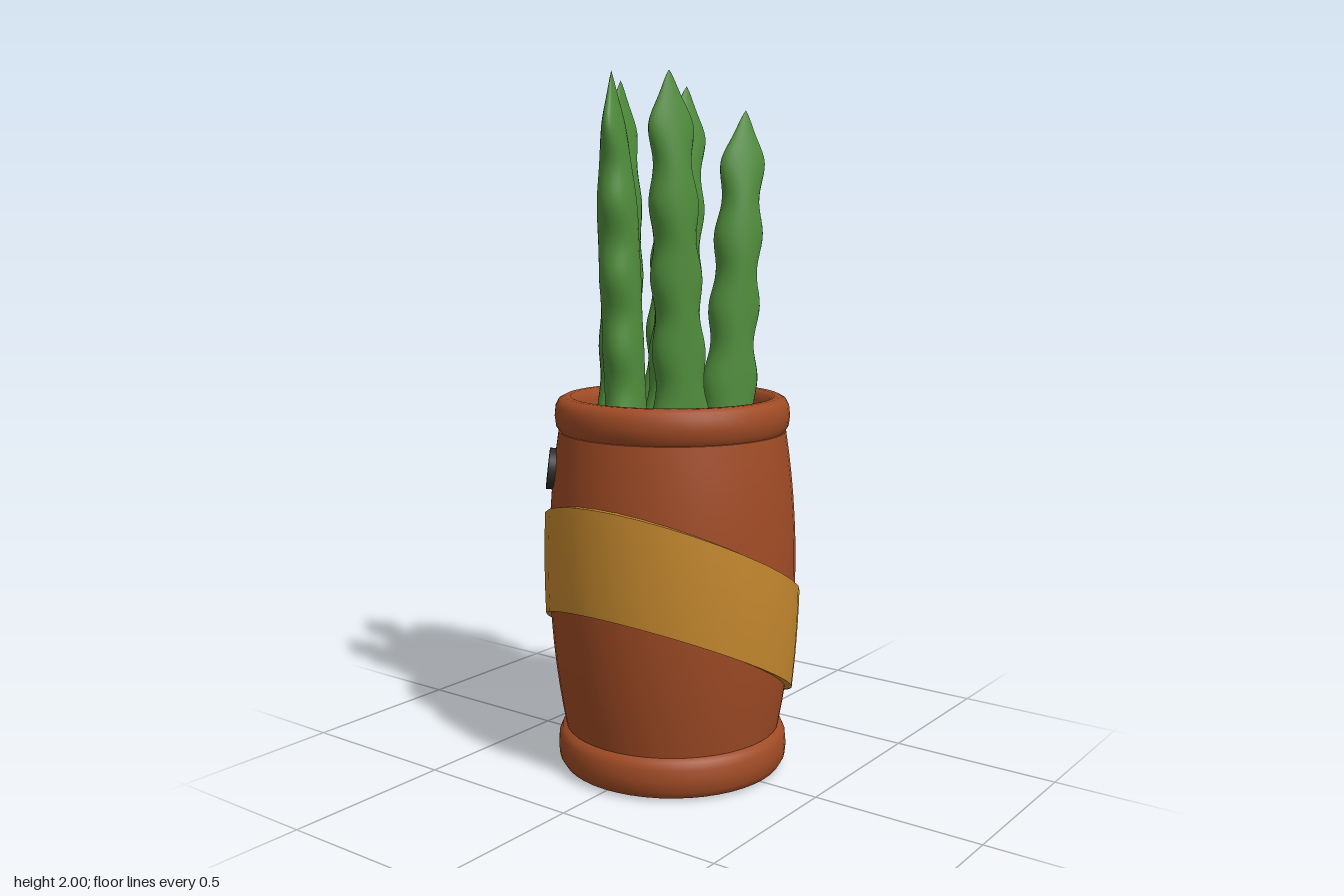
import * as THREE from 'three';
import { toCreasedNormals } from 'three/addons/utils/BufferGeometryUtils.js';

const mat = (name, color) => {
  const m = new THREE.MeshStandardMaterial({ color });
  m.name = name;
  return m;
};

// Skin a stack of rings; point(i, angle) returns [x, y, z] on ring i.
function loft(rings, sides, point, closed = false) {
  const pos = [], index = [];
  for (let i = 0; i < rings; i++)
    for (let j = 0; j < sides; j++) pos.push(...point(i, (j / sides) * Math.PI * 2));
  for (let i = 0; i < (closed ? rings : rings - 1); i++)
    for (let j = 0; j < sides; j++) {
      const r = ((i + 1) % rings) * sides, k = (j + 1) % sides;
      const a = i * sides + j, b = i * sides + k, c = r + j, d = r + k;
      index.push(a, b, c, b, d, c);
    }
  const g = new THREE.BufferGeometry();
  g.setAttribute('position', new THREE.Float32BufferAttribute(pos, 3));
  g.setIndex(index);
  g.computeVertexNormals();
  return g;
}

const barrelRadius = (y) => 0.362 - 0.046 * ((y - 0.6) / 0.48) ** 2;
const bandRadius = (y) => 0.376 - 0.03 * ((y - 0.6) / 0.46) ** 2;

// Barrel-shaped pot with rounded rims and a recessed floor
function potGeometry() {
  const p = [[0, 0], [0.305, 0], [0.325, 0.008], [0.337, 0.028], [0.34, 0.06], [0.337, 0.092], [0.328, 0.112], [0.312, 0.12]];
  for (let i = 0; i <= 14; i++) {
    const y = 0.121 + (i / 14) * 0.878;
    p.push([barrelRadius(y), y]);
  }
  p.push([0.327, 1], [0.337, 1.015], [0.341, 1.045], [0.338, 1.072], [0.329, 1.09], [0.312, 1.099],
    [0.295, 1.099], [0.282, 1.088], [0.275, 1.068], [0.27, 1.02], [0.258, 0.95], [0, 0.95]);
  const g = new THREE.LatheGeometry(p.map(([x, y]) => new THREE.Vector2(x, y)), 48);
  return toCreasedNormals(g, 0.75);
}

// Slanted band, high at the front and low at the back
function bandGeometry() {
  const steps = 7;
  const g = loft(steps + 2, 32, (i, t) => {
    const outer = i < steps;
    const v = outer ? i / (steps - 1) : i === steps ? 1 : 0;
    const y = 0.478 + 0.193 * Math.cos(t) + (v - 0.5) * 0.3;
    const r = outer ? bandRadius(y) : barrelRadius(y) - 0.01;
    return [r * Math.sin(t), y, r * Math.cos(t)];
  }, true);
  return toCreasedNormals(g, 0.7);
}

// Flattened, rippled stalk that leans from base to tip
function stalkGeometry({ base, tip, axis, height }) {
  const rings = 56, y0 = 0.94;
  const len = Math.hypot(...axis), ux = axis[0] / len, uz = axis[1] / len;
  return loft(rings, 24, (i, t) => {
    const s = i / (rings - 1);
    const f = 1 - (1 - s) ** 1.3;
    const y = y0 + (height - y0) * f;
    const below = height - y;
    const ripple = 0.008 * Math.cos(((below - 0.15) / 0.205) * Math.PI * 2);
    const flare = 0.016 * Math.max(0, 1 - (y - y0) / 0.25);
    const cap = Math.min(1, below / 0.16);
    const wide = (0.059 + 0.02 * (1 - f) + flare + ripple) * Math.sin(cap * Math.PI / 2) ** 0.9;
    const thin = 0.057 * Math.sin(Math.min(1, below / 0.45) * Math.PI / 2);
    const a = wide * Math.sin(t), b = thin * Math.cos(t);
    const cx = base[0] + (tip[0] - base[0]) * f, cz = base[1] + (tip[1] - base[1]) * f;
    return [cx + ux * a - uz * b, y, cz + uz * a + ux * b];
  });
}

const STALKS = [
  { base: [-0.203, -0.018], tip: [-0.205, -0.025], axis: [0, 1], height: 2 },
  { base: [-0.11, -0.118], tip: [-0.105, -0.175], axis: [0.45, -0.9], height: 1.84 },
  { base: [-0.042, -0.045], tip: [-0.03, -0.11], axis: [0.4, -0.9], height: 1.98 },
  { base: [0.103, -0.125], tip: [0.125, -0.185], axis: [0.5, -0.85], height: 1.91 },
  { base: [0.08, 0.06], tip: [0.085, 0.13], axis: [0.4, -0.9], height: 2 },
  { base: [-0.062, 0.13], tip: [-0.058, 0.2], axis: [0.35, 0.9], height: 2 },
];

export function createModel() {
  const terracotta = mat('terracotta', 0xa04b25);
  const ochre = mat('ochre', 0xc4882e);
  const green = mat('stalk green', 0x508e3c);
  const charcoal = mat('charcoal', 0x2c2c2a);

  const model = new THREE.Group();
  model.name = 'pottedPlant';
  const add = (name, geometry, material, parent = model) => {
    const m = new THREE.Mesh(geometry, material);
    m.name = name;
    parent.add(m);
    return m;
  };

  add('pot', potGeometry(), terracotta);
  add('slantedBand', bandGeometry(), ochre);

  const stalks = new THREE.Group();
  stalks.name = 'stalks';
  model.add(stalks);
  STALKS.forEach((s, i) => add(`stalk${i + 1}`, stalkGeometry(s), green, stalks));

  // Three round studs on the right side, tilted with the barrel wall
  const studGeometry = new THREE.CylinderGeometry(0.06, 0.06, 0.03, 32).rotateX(Math.PI / 2);
  [-0.72, 0, 0.72].forEach((a, i) => {
    const pivot = new THREE.Group();
    pivot.name = `studPivot${i + 1}`;
    pivot.rotation.y = -Math.PI / 2 + a;
    model.add(pivot);
    const stud = add(`stud${i + 1}`, studGeometry, charcoal, pivot);
    stud.position.set(0, 0.887, 0.347);
    stud.rotation.x = -0.12;
  });

  return model;
}
